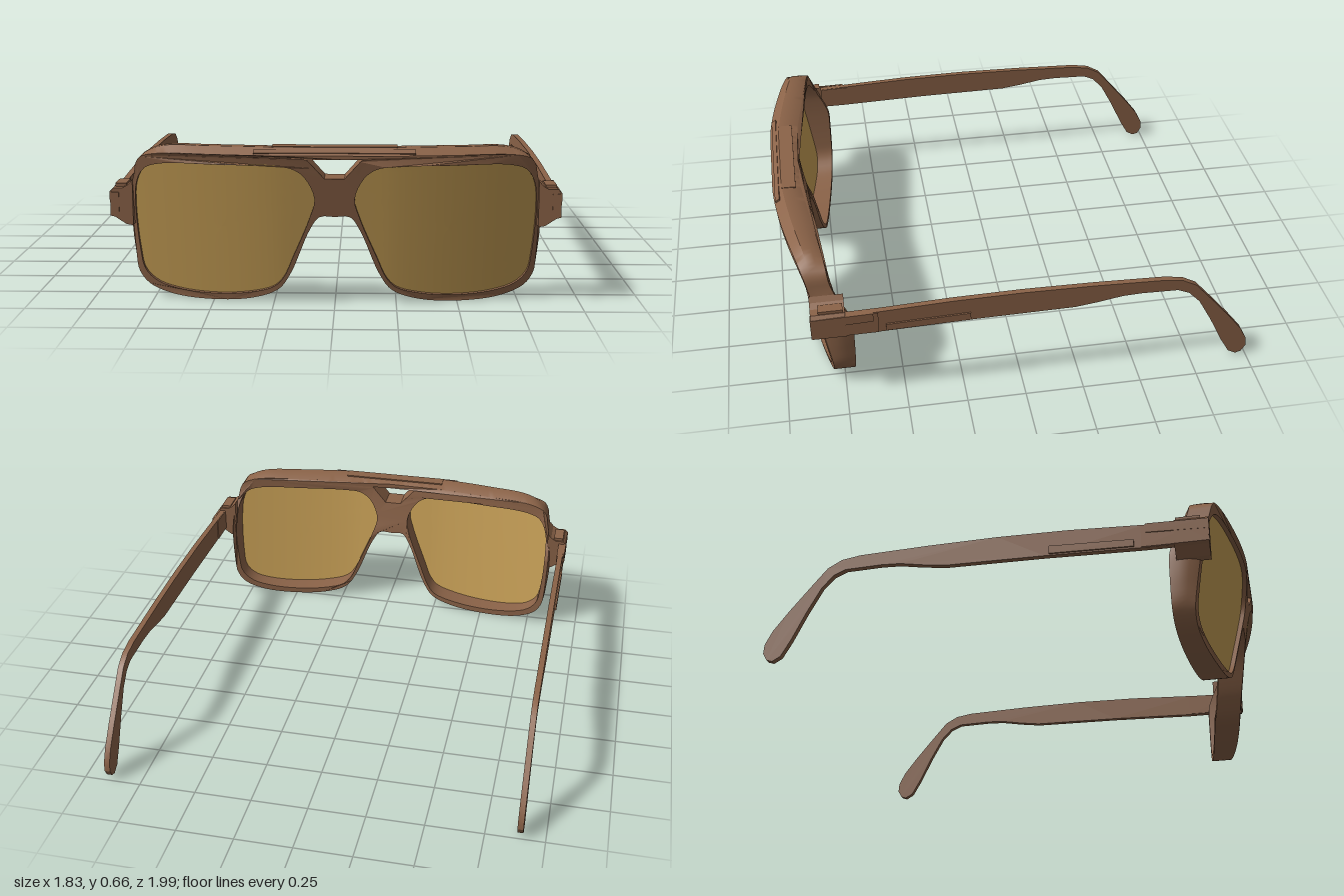
import * as THREE from 'three';
import { toCreasedNormals } from 'three/addons/utils/BufferGeometryUtils.js';

const brown = new THREE.MeshStandardMaterial({ color: 0x8b6348 });
brown.name = 'brown frame';
const gold = new THREE.MeshStandardMaterial({ color: 0xc8a056, side: THREE.DoubleSide });
gold.name = 'gold lens';

const { lerp, smoothstep, clamp } = THREE.MathUtils;

// Evenly spaced points on a closed curve
function loop(points, count) {
  const curve = new THREE.CatmullRomCurve3(points.map(([x, y]) => new THREE.Vector3(x, y, 0)), true);
  return curve.getSpacedPoints(count).slice(0, count).map(p => new THREE.Vector2(p.x, p.y));
}
const flip = pts => pts.map(p => new THREE.Vector2(-p.x, p.y)).reverse();

// Wrap-around and tilt of the frame's front and back faces
function frontZ(x, y) {
  const a = Math.max(0, Math.abs(x) - 0.2) / 0.6;
  return 0.99 - 0.1 * Math.pow(a, 1.6) - 0.18 * Math.max(0, 0.61 - y);
}
function backZ(x, y) {
  const a = Math.abs(x);
  const low = a < 0.25
    ? lerp(0.83, 0.77, clamp((a - 0.07) / 0.18, 0, 1))
    : lerp(0.77, 0.705, (a - 0.25) / 0.55);
  const high = lerp(0.87, 0.79, clamp((a - 0.2) / 0.6, 0, 1));
  return lerp(low, high, smoothstep(y, 0.33, 0.6));
}

const lensOutline = loop([
  [0.08, 0.45], [0.12, 0.54], [0.17, 0.575], [0.25, 0.585], [0.48, 0.587], [0.70, 0.583], [0.77, 0.56],
  [0.805, 0.50], [0.815, 0.40], [0.805, 0.20], [0.79, 0.12], [0.74, 0.07], [0.65, 0.042], [0.5, 0.03],
  [0.35, 0.042], [0.25, 0.07], [0.21, 0.11], [0.17, 0.2], [0.10, 0.37],
], 90);

function frame() {
  const half = [
    [0.06, 0.375], [0.10, 0.32], [0.18, 0.13], [0.23, 0.06], [0.33, 0.02], [0.5, 0.003], [0.68, 0.018],
    [0.78, 0.06], [0.82, 0.12], [0.836, 0.22], [0.842, 0.36], [0.836, 0.46], [0.815, 0.53], [0.80, 0.59],
    [0.75, 0.632], [0.68, 0.653], [0.5, 0.656], [0.25, 0.657],
  ];
  const outline = [[0, 0.375], ...half, [0, 0.657], ...half.map(([x, y]) => [-x, y]).reverse()];
  const shape = new THREE.Shape(loop(outline, 220));
  const gap = [];
  const corners = [[-0.04, 0.535], [0.04, 0.535], [0.115, 0.62], [-0.115, 0.62]];
  corners.forEach(([x, y], i) => {
    const [nx, ny] = corners[(i + 1) % 4];
    for (let k = 0; k < 6; k++) gap.push(new THREE.Vector2(lerp(x, nx, k / 6), lerp(y, ny, k / 6)));
  });
  shape.holes = [lensOutline, flip(lensOutline), gap].map(pts => new THREE.Path(pts));

  const g = new THREE.ExtrudeGeometry(shape, { depth: 1, steps: 3, bevelEnabled: false });
  const p = g.attributes.position;
  for (let i = 0; i < p.count; i++) {
    let x = p.getX(i), y = p.getY(i);
    const t = p.getZ(i);
    const z = lerp(backZ(x, y), frontZ(x, y), t);
    // Chamfer the brow and the outer sides at the front and back
    const keep = t > 0.9 ? 0.4 : t < 0.1 ? 0.6 : 1;
    if (y > 0.61) y = 0.61 + (y - 0.61) * keep;
    if (Math.abs(x) > 0.82) x = Math.sign(x) * (0.82 + (Math.abs(x) - 0.82) * keep);
    p.setXYZ(i, x, y, z);
  }
  return toCreasedNormals(g, 0.5);
}

// Curved lens: rings from the centre out to the outline
function lens(side) {
  const rings = 10, n = lensOutline.length, pos = [], index = [];
  for (let r = 0; r <= rings; r++) {
    for (const q of lensOutline) {
      const s = (r / rings) * 1.01;
      const x = lerp(0.46, q.x, s), y = lerp(0.32, q.y, s);
      pos.push(side * x, y, frontZ(x, y) - 0.02);
    }
  }
  for (let r = 0; r < rings; r++) {
    for (let i = 0; i < n; i++) {
      const a = r * n + i, b = r * n + (i + 1) % n;
      if (r > 0) index.push(a, b, a + n);
      index.push(b, b + n, a + n);
    }
  }
  const g = new THREE.BufferGeometry();
  g.setAttribute('position', new THREE.Float32BufferAttribute(pos, 3));
  g.setIndex(index);
  g.computeVertexNormals();
  return g;
}

// Side profile given as (z, y), extruded along x
function sideSlab(points, x0, x1) {
  const shape = new THREE.Shape(points.map(([z, y]) => new THREE.Vector2(-z, y)));
  const g = new THREE.ExtrudeGeometry(shape, { depth: x1 - x0, bevelEnabled: false });
  g.rotateY(Math.PI / 2);
  g.translate(x0, 0, 0);
  return toCreasedNormals(g, 0.5);
}

const templeProfile = [
  [0.87, 0.455], [0.62, 0.465], [0.3, 0.48], [0, 0.485], [-0.3, 0.481], [-0.6, 0.471], [-0.68, 0.458],
  [-0.74, 0.425], [-0.8, 0.355], [-0.9, 0.235], [-0.965, 0.15], [-0.995, 0.09], [-0.998, 0.05],
  [-0.98, 0.018], [-0.955, 0.01], [-0.92, 0.03], [-0.88, 0.1], [-0.82, 0.225], [-0.76, 0.335],
  [-0.71, 0.388], [-0.66, 0.41], [-0.5, 0.414], [-0.42, 0.41], [-0.32, 0.392], [-0.22, 0.378],
  [0.2, 0.372], [0.6, 0.36], [0.87, 0.36],
];

export function createModel() {
  const model = new THREE.Group();
  model.name = 'glasses';
  const add = (parent, name, geometry, material = brown) => {
    const m = new THREE.Mesh(geometry, material);
    m.name = name;
    parent.add(m);
    return m;
  };

  add(model, 'frontFrame', frame());
  for (const side of [1, -1]) add(model, side > 0 ? 'leftLens' : 'rightLens', lens(side), gold);

  // Thin inlays on the brow bar
  add(model, 'browTopPlate', new THREE.BoxGeometry(0.5, 0.006, 0.06)).position.set(0, 0.656, 0.918);
  const inlay = add(model, 'browFrontPlate', new THREE.BoxGeometry(0.64, 0.022, 0.008));
  inlay.position.set(0, 0.642, 0.969);
  inlay.rotation.x = -0.98;

  // Hinge corner block seen from the front
  const corner = new THREE.Shape([
    [0.822, 0.32], [0.85, 0.325], [0.895, 0.355], [0.914, 0.36], [0.914, 0.46],
    [0.9, 0.475], [0.862, 0.475], [0.838, 0.49], [0.822, 0.51],
  ].map(([x, y]) => new THREE.Vector2(x, y)));
  const cornerGeometry = new THREE.ExtrudeGeometry(corner, { depth: 0.14, bevelEnabled: false });
  cornerGeometry.translate(0, 0, 0.732);

  const parts = [
    ['temple', sideSlab(templeProfile, 0.882, 0.907)],
    ['hingeBlock', cornerGeometry],
    ['hingePlate', sideSlab([[0.875, 0.415], [0.875, 0.46], [0.62, 0.466], [0.62, 0.425]], 0.906, 0.915)],
    ['hingeArm', sideSlab([[0.875, 0.36], [0.875, 0.457], [0.6, 0.463], [0.6, 0.362]], 0.878, 0.911)],
    ['templePlate', sideSlab([[0.57, 0.368], [0.57, 0.4], [0.22, 0.412], [0.22, 0.377]], 0.906, 0.914)],
    ['hingeCap', new THREE.BoxGeometry(0.045, 0.02, 0.1).translate(0.875, 0.478, 0.79)],
  ];
  // Mirrored copy: negate x and reverse the corner order
  const mirrored = geometry => {
    const g = geometry.index ? geometry.toNonIndexed() : geometry.clone();
    g.scale(-1, 1, 1);
    for (const name of ['position', 'normal']) {
      const a = g.attributes[name].array;
      for (let i = 0; i < a.length; i += 9) {
        for (let k = 0; k < 3; k++) [a[i + 3 + k], a[i + 6 + k]] = [a[i + 6 + k], a[i + 3 + k]];
      }
    }
    return g;
  };
  for (const side of [1, -1]) {
    const arm = new THREE.Group();
    arm.name = side > 0 ? 'leftArm' : 'rightArm';
    for (const [name, g] of parts) add(arm, name, side > 0 ? g : mirrored(g));
    model.add(arm);
  }
  return model;
}
